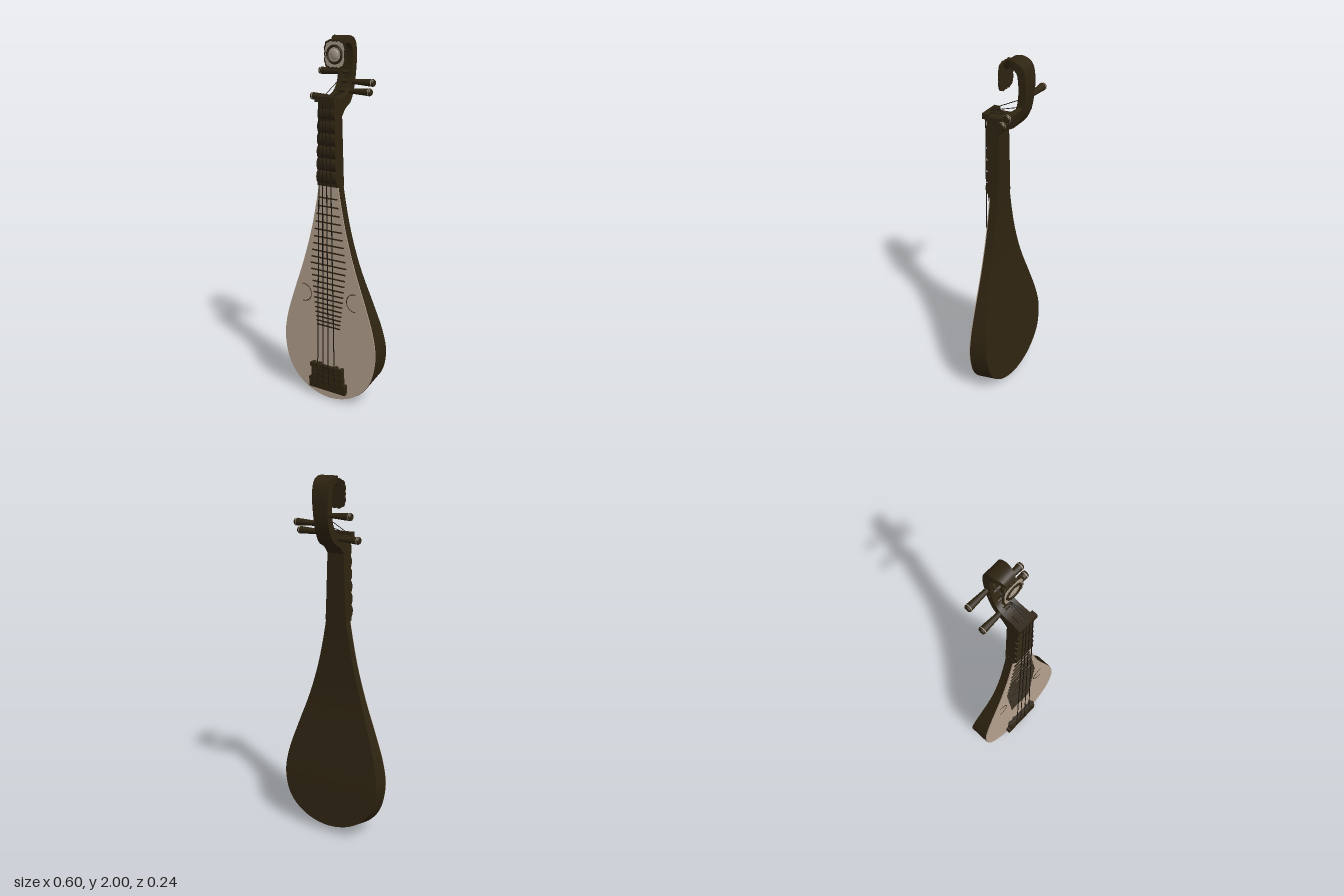
import * as THREE from 'three';

const mat = (name, color, side = THREE.FrontSide) => {
  const m = new THREE.MeshStandardMaterial({ color, side });
  m.name = name;
  return m;
};

// Loft of four-cornered sections; every side keeps its own vertices so the long edges stay sharp.
function loft(sections) {
  const pos = [], idx = [];
  const quad = (a, b, c, d) => idx.push(a, b, c, a, c, d);
  for (let k = 0; k < 4; k++) {
    const base = pos.length / 3;
    sections.forEach((s, i) => {
      pos.push(...s[k], ...s[(k + 1) % 4]);
      const o = base + 2 * i;
      if (i) quad(o - 2, o - 1, o + 1, o);
    });
  }
  for (const [s, flip] of [[sections[0], true], [sections.at(-1), false]]) {
    const o = pos.length / 3;
    s.forEach(p => pos.push(...p));
    if (flip) quad(o + 3, o + 2, o + 1, o); else quad(o, o + 1, o + 2, o + 3);
  }
  const g = new THREE.BufferGeometry();
  g.setAttribute('position', new THREE.Float32BufferAttribute(pos, 3));
  g.setIndex(idx);
  g.computeVertexNormals();
  return g;
}

export function createModel() {
  const root = new THREE.Group();
  const wood = mat('dark wood', 0x2f2411);
  const board = mat('pale soundboard', 0xb5a18f);
  const ivory = mat('ivory', 0xa89a8a);
  const silk = mat('string', 0x1c1812);

  const add = (name, geo, m, x = 0, y = 0, z = 0, parent = root) => {
    const mesh = new THREE.Mesh(geo, m);
    mesh.name = name;
    mesh.position.set(x, y, z);
    parent.add(mesh);
    return mesh;
  };
  const box = (name, w, h, d, m, x, y, z, parent) => add(name, new THREE.BoxGeometry(w, h, d), m, x, y, z, parent);
  const rod = (name, a, b, r0, r1, m, sides = 6, parent = root) => {
    const dir = b.clone().sub(a);
    const c = a.clone().add(b).multiplyScalar(0.5);
    const mesh = add(name, new THREE.CylinderGeometry(r1, r0, dir.length(), sides), m, c.x, c.y, c.z, parent);
    mesh.quaternion.setFromUnitVectors(new THREE.Vector3(0, 1, 0), dir.normalize());
    return mesh;
  };
  const V = (x, y, z) => new THREE.Vector3(x, y, z);

  // Pear-shaped body: upright sides, back plane sloping away toward the bottom
  const half = new THREE.SplineCurve([
    [0.002, 0.003], [0.07, 0.012], [0.145, 0.04], [0.22, 0.097], [0.275, 0.185], [0.299, 0.32], [0.282, 0.45],
    [0.235, 0.6], [0.165, 0.8], [0.108, 1.0], [0.068, 1.2], [0.061, 1.26],
  ].map(p => new THREE.Vector2(...p))).getPoints(66);
  const backLine = new THREE.SplineCurve([
    [0, -0.057], [0.05, -0.053], [0.33, -0.031], [0.6, 0.004], [0.75, 0.022], [0.88, 0.031], [1.1, 0.035], [1.3, 0.034],
  ].map(p => new THREE.Vector2(...p))).getPoints(60);
  const backZ = y => {
    const i = Math.max(1, backLine.findIndex(p => p.x >= y));
    const a = backLine[i - 1], b = backLine[i];
    return THREE.MathUtils.mapLinear(y, a.x, b.x, a.y, b.y);
  };
  add('body', loft(half.map(({ x: w, y }) => {
    const yb = y + 0.045 * Math.max(0, 1 - y / 0.35), zb = backZ(yb);
    return [[-w, y, 0.08], [w, y, 0.08], [w, yb, zb], [-w, yb, zb]];
  })), wood);
  add('soundboard', loft(half.map(({ x, y }) => {
    const w = Math.max(0.001, x - 0.002);
    return [[-w, y, 0.086], [w, y, 0.086], [w, y, 0.0795], [-w, y, 0.0795]];
  })), board);

  // Crescent sound holes
  for (const s of [-1, 1]) {
    const hole = add('soundHole', new THREE.TorusGeometry(0.05, 0.0022, 4, 24, Math.PI * 1.1), wood, s * 0.165, 0.61, 0.086);
    hole.rotation.z = s < 0 ? -Math.PI * 0.55 : Math.PI * 0.45;
  }

  // Bamboo frets, closer together toward the bridge
  const frets = new THREE.Group();
  frets.name = 'frets';
  root.add(frets);
  for (let i = 0; i < 22; i++) {
    const t = i / 21, y = 1.17 - 0.98 * t + 0.25 * t * t;
    const w = y > 0.8 ? 0.058 + (1.17 - y) * 0.15 : 0.114 - (0.8 - y) * 0.11;
    box('fret', 2 * w, 0.006, 0.008, wood, 0, y, 0.089, frets);
  }

  // Neck with a slanted top that meets the head
  add('neck', loft([[1.24, 1.24, 0.062], [1.42, 1.42, 0.056], [1.69, 1.6, 0.05]].map(([yf, yb, w], i) => {
    const zf = 0.088 + 0.008 * i;
    return [[-w, yf, zf], [w, yf, zf], [w, yb, 0.031], [-w, yb, 0.031]];
  })), wood);
  for (let i = 0; i < 6; i++) {
    const g = new THREE.CylinderGeometry(0.034, 0.034, 0.122 - i * 0.004, 20).rotateZ(Math.PI / 2);
    add('neckRidge', g.scale(1, 1, 0.55), wood, 0, 1.285 + i * 0.066, 0.09);
  }
  box('neckHeel', 0.128, 0.03, 0.058, wood, 0, 1.25, 0.063);
  box('nut', 0.118, 0.03, 0.034, wood, 0, 1.69, 0.105);

  // Curled head: [inner z, inner y, outer z, outer y, half width]
  const profile = [
    [0.105, 1.69, 0.031, 1.6, 0.05], [0.02, 1.695, 0, 1.635, 0.05], [-0.03, 1.715, -0.055, 1.665, 0.047],
    [-0.06, 1.76, -0.095, 1.73, 0.043], [-0.073, 1.82, -0.113, 1.81, 0.043], [-0.075, 1.9, -0.115, 1.92, 0.047],
    [-0.065, 1.945, -0.097, 1.978, 0.047], [-0.04, 1.963, -0.052, 2.0, 0.047], [-0.015, 1.96, -0.008, 1.995, 0.037],
    [0.002, 1.945, 0.018, 1.962, 0.026],
  ];
  const inner = new THREE.CatmullRomCurve3(profile.map(p => V(p[4], p[1], p[0])));
  const outer = new THREE.CatmullRomCurve3(profile.map(p => V(p[4], p[3], p[2])));
  const headPart = (name, i0, i1, range, depth = 1) => {
    const secs = [];
    for (let i = i0; i <= i1; i++) {
      const o = outer.getPoint(i / 54), n = o.clone().lerp(inner.getPoint(i / 54), depth);
      const [a, b] = range(o.x);
      secs.push([[a, n.y, n.z], [b, n.y, n.z], [b, o.y, o.z], [a, o.y, o.z]]);
    }
    add(name, loft(secs), wood);
  };
  const full = w => [-w, w];
  headPart('headBase', 0, 8, full);
  headPart('pegBoxBack', 8, 27, full, 0.35);
  headPart('pegBoxCheek', 8, 27, w => [0.024, w]);
  headPart('pegBoxCheek', 8, 27, w => [-w, -0.024]);
  headPart('headScroll', 27, 54, full);

  // Tuning pegs flaring outward, with pale end caps: [side, y, z]
  const pegs = [[-1, 1.685, -0.015], [1, 1.72, -0.053], [1, 1.765, -0.083], [-1, 1.812, -0.095]];
  pegs.forEach(([s, y, z]) => {
    const peg = new THREE.Group();
    peg.name = 'tuningPeg';
    root.add(peg);
    rod('pegShaft', V(-s * 0.045, y, z), V(s * 0.165, y, z), 0.007, 0.02, wood, 14, peg);
    rod('pegRing', V(s * 0.158, y, z), V(s * 0.162, y, z), 0.0205, 0.0205, ivory, 14, peg);
    rod('pegCap', V(s * 0.165, y, z), V(s * 0.172, y, z), 0.02, 0.016, wood, 14, peg);
  });

  // Bridge with stepped tailpiece
  const bridge = new THREE.Group();
  bridge.name = 'bridge';
  root.add(bridge);
  box('bridgeFoot', 0.238, 0.06, 0.03, wood, 0, 0.086, 0.095, bridge);
  box('bridgeMiddle', 0.21, 0.04, 0.022, wood, 0, 0.13, 0.094, bridge);
  box('bridgeNeck', 0.19, 0.04, 0.014, wood, 0, 0.165, 0.091, bridge);
  box('bridgeRail', 0.215, 0.022, 0.02, wood, 0, 0.197, 0.106, bridge);
  for (const s of [-1, 1]) {
    box('bridgePost', 0.018, 0.14, 0.026, wood, s * 0.092, 0.14, 0.098, bridge);
    box('bridgeBlock', 0.016, 0.035, 0.034, wood, s * 0.056, 0.195, 0.102, bridge);
  }

  // Four strings: bridge to nut, then into the peg box
  [-0.055, -0.02, 0.016, 0.055].forEach((x, i) => {
    const top = V(x * 0.55, 1.7, 0.119);
    const order = [0, 3, 2, 1][i];
    rod('string', V(x, 0.1, 0.114), V(x, 0.2, 0.117), 0.0028, 0.0028, silk);
    rod('string', V(x, 0.2, 0.117), top, 0.0028, 0.0028, silk);
    rod('stringEnd', top, V(x * 0.3, pegs[order][1], pegs[order][2]), 0.002, 0.002, silk);
  });

  // Scalloped ornament hanging from the scroll
  const ornament = new THREE.Group();
  ornament.name = 'headOrnament';
  ornament.position.set(0, 1.908, 0.02);
  root.add(ornament);
  const plate = r => {
    const pts = [];
    for (let i = 0; i < 64; i++) {
      const a = i / 64 * Math.PI * 2;
      const k = r * (1 - 0.09 * Math.cos(4 * a) + 0.03 * Math.cos(16 * a));
      pts.push(new THREE.Vector2(k * Math.cos(a) * 0.95, k * Math.sin(a) * 1.08));
    }
    return new THREE.Shape(pts);
  };
  const slab = (r, depth) => new THREE.ExtrudeGeometry(plate(r), { depth, bevelEnabled: false });
  add('ornamentBack', slab(0.074, 0.008), wood, 0, 0, -0.004, ornament);
  add('ornamentFace', slab(0.064, 0.004), ivory, 0, 0, 0.003, ornament);
  add('ornamentRing', new THREE.TorusGeometry(0.043, 0.007, 6, 32), wood, 0, 0, 0.007, ornament);
  add('ornamentBoss', new THREE.SphereGeometry(0.026, 20, 12).scale(1, 1.1, 0.35), ivory, 0, 0, 0.006, ornament);

  return root;
}
